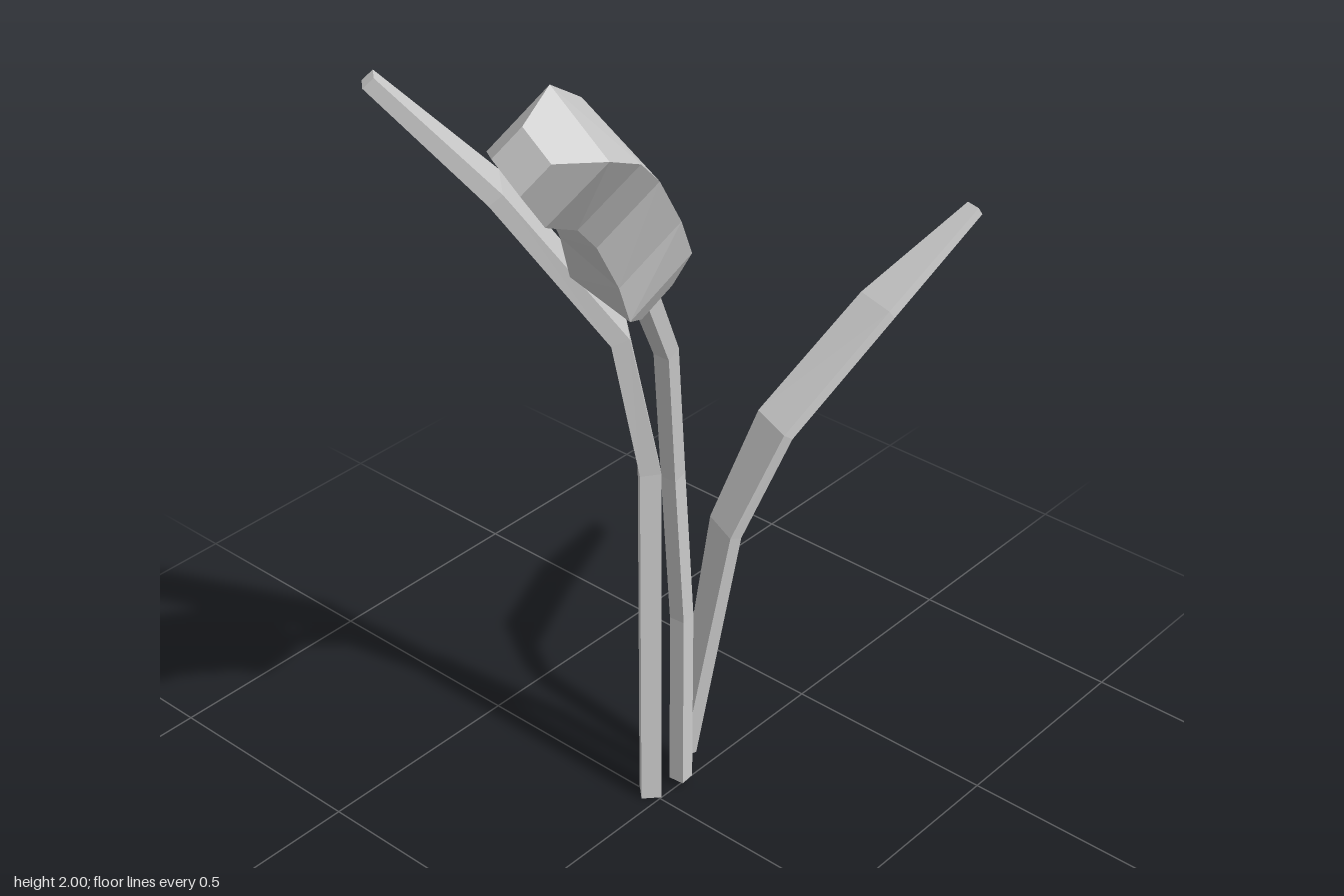
import * as THREE from 'three';

const V = (x, y, z) => new THREE.Vector3(x, y, z);
const material = new THREE.MeshStandardMaterial({ color: 0xcccccc, flatShading: true });

// Closed four-sided solid from rings of corners (counter-clockwise seen from the far end)
function loft(name, rings) {
  const index = [];
  for (let r = 0; r < rings.length - 1; r++) {
    for (let i = 0; i < 4; i++) {
      const j = (i + 1) % 4, lo = r * 4, up = lo + 4;
      index.push(lo + i, lo + j, up + j, lo + i, up + j, up + i);
    }
  }
  const e = (rings.length - 1) * 4;
  index.push(0, 2, 1, 0, 3, 2, e, e + 1, e + 2, e, e + 2, e + 3);
  let geometry = new THREE.BufferGeometry().setFromPoints(rings.flat());
  geometry.setIndex(index);
  geometry = geometry.toNonIndexed();
  geometry.computeVertexNormals();
  const mesh = new THREE.Mesh(geometry, material);
  mesh.name = name;
  return mesh;
}

// Rectangular bar along a bent path; nodes are [x, y, z, halfWidth, halfThickness]
function blade(name, across, nodes) {
  const pts = nodes.map(([x, y, z]) => V(x, y, z));
  const rings = nodes.map(([, , , hw, ht], i) => {
    const t = V(0, 0, 0);
    if (i > 0) t.add(pts[i].clone().sub(pts[i - 1]).normalize());
    if (i < pts.length - 1) t.add(pts[i + 1].clone().sub(pts[i]).normalize());
    t.normalize();
    const w = across.clone().addScaledVector(t, -across.dot(t)).normalize();
    const n = t.clone().cross(w).multiplyScalar(ht);
    w.multiplyScalar(hw);
    return [[1, 1], [-1, 1], [-1, -1], [1, -1]].map(([a, b]) =>
      pts[i].clone().addScaledVector(w, a).addScaledVector(n, b));
  });
  return loft(name, rings);
}

// Diamond-section head; its diagonals turn gradually from base to tip
function flowerHead() {
  const ridge = [V(-0.065, 0.065, -0.075), V(-0.0225, 0.11, -0.0325)];
  const side = [V(0.085, 0.025, -0.075), V(0.1025, 0.01, -0.0375)];
  // x, y, z, blend of the diagonals, scale
  const nodes = [
    [0.092, 1.38, 0.155, 0, 0.5],
    [0.1, 1.455, 0.195, 0, 1],
    [0.125, 1.56, 0.25, 0.25, 1],
    [0.165, 1.7, 0.35, 0.5, 1],
    [0.215, 1.795, 0.45, 0.75, 1],
    [0.29, 1.89, 0.605, 1, 1],
    [0.314, 1.92, 0.69, 1, 0.48],
  ];
  return loft('flowerHead', nodes.map(([x, y, z, k, s]) => {
    const a = ridge[0].clone().lerp(ridge[1], k).multiplyScalar(s);
    const b = side[0].clone().lerp(side[1], k).multiplyScalar(s);
    return [b, a, b.clone().negate(), a.clone().negate()].map(p => p.add(V(x, y, z)));
  }));
}

export function createModel() {
  const group = new THREE.Group();
  group.name = 'plant';
  group.add(
    blade('stem', V(1, 0, -0.1), [
      [0, 0.02, -0.07, 0.018, 0.018],
      [0, 0.46, -0.07, 0.018, 0.018],
      [0.005, 0.84, -0.035, 0.018, 0.018],
      [0.047, 1.18, 0.035, 0.018, 0.018],
      [0.09, 1.4, 0.16, 0.02, 0.02],
    ]),
    flowerHead(),
    blade('frontLeaf', V(0.73, 0, 0.68), [
      [-0.033, 0, -0.005, 0.024, 0.022],
      [-0.035, 0.85, -0.007, 0.026, 0.022],
      [-0.08, 1.18, 0.035, 0.054, 0.02],
      [-0.228, 1.515, 0.22, 0.052, 0.018],
      [-0.37, 1.757, 0.395, 0.018, 0.015],
    ]),
    blade('backLeaf', V(0.95, 0, 0.3), [
      [-0.03, 0.06, -0.115, 0.025, 0.017],
      [0.05, 0.67, -0.152, 0.042, 0.014],
      [0.11, 0.91, -0.235, 0.052, 0.013],
      [0.188, 1.125, -0.465, 0.05, 0.012],
      [0.253, 1.28, -0.7, 0.018, 0.01],
    ]),
  );
  return group;
}
